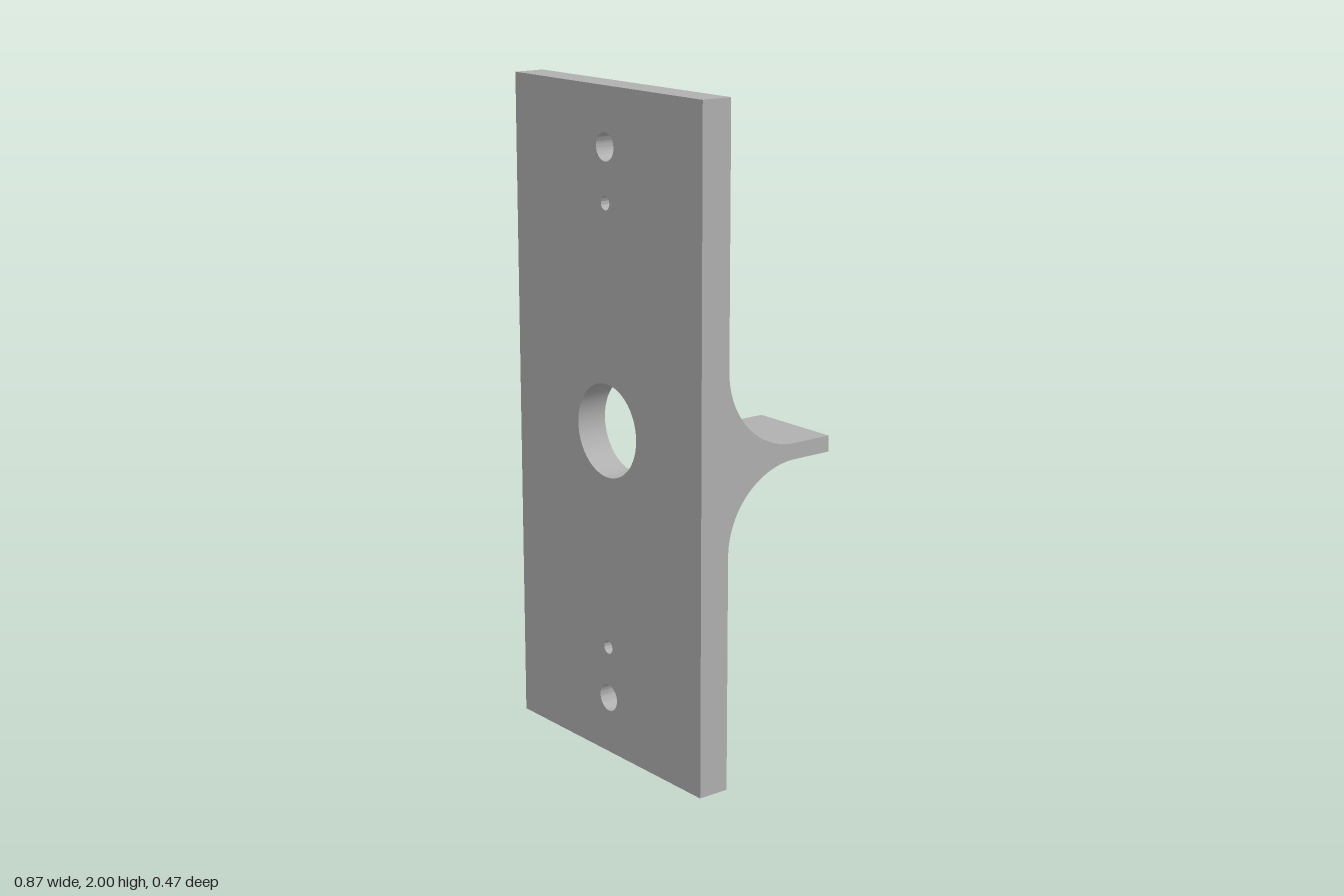
import * as THREE from 'three';
import { toCreasedNormals } from 'three/addons/utils/BufferGeometryUtils.js';

const HALF_W = 0.436, BACK = 0.138, FRONT = 0.236;

export function createModel() {
  const model = new THREE.Group();
  model.name = 'mountingPlate';
  const grey = new THREE.MeshStandardMaterial({ color: 0xb0b0b0 });
  grey.name = 'plain grey';

  const add = (name, geometry) => {
    const mesh = new THREE.Mesh(toCreasedNormals(geometry, 0.5), grey);
    mesh.name = name;
    model.add(mesh);
    return mesh;
  };

  // Flat plate with a central opening and two pairs of screw holes
  const outline = new THREE.Shape([
    new THREE.Vector2(-HALF_W, 0), new THREE.Vector2(HALF_W, 0),
    new THREE.Vector2(HALF_W, 2), new THREE.Vector2(-HALF_W, 2),
  ]);
  for (const [y, r] of [[1, 0.14], [1.827, 0.041], [0.173, 0.041], [1.667, 0.02], [0.333, 0.02]]) {
    outline.holes.push(new THREE.Path().absarc(0, y, r, 0, Math.PI * 2, true));
  }
  const plate = new THREE.ExtrudeGeometry(outline, { depth: FRONT - BACK, bevelEnabled: false, curveSegments: 48 });
  plate.translate(0, 0, BACK);
  add('plate', plate);

  // Flared posts: fillet into the plate, straight stem, blind bore in the end
  const R = 0.2, stem = 0.086, bore = 0.03, length = BACK + 0.236;
  const profile = [new THREE.Vector2(0.27, 0)];
  const start = Math.asin((stem + R - 0.27) / R);
  for (let i = 0; i <= 20; i++) {
    const a = start + (Math.PI / 2 - start) * i / 20;
    profile.push(new THREE.Vector2(stem + R - R * Math.sin(a), R - R * Math.cos(a)));
  }
  for (const [r, h] of [[stem, length], [bore, length], [bore, 0.12], [0, 0.12]]) {
    profile.push(new THREE.Vector2(r, h));
  }
  for (const [name, y] of [['upperPost', 1.438], ['lowerPost', 0.565]]) {
    const post = new THREE.LatheGeometry(profile, 72);
    post.rotateX(-Math.PI / 2).translate(-0.175, y, BACK);
    // Trim the flare flush with the plate edge
    const p = post.attributes.position;
    for (let i = 0; i < p.count; i++) p.setX(i, Math.max(p.getX(i), -HALF_W));
    add(name, post);
  }

  // Shelf with concave fillets above and below; profile x runs toward the back
  const F = 0.245, top = 1.0, under = 0.952, reach = BACK + 0.236;
  const side = new THREE.Shape();
  side.moveTo(0, under - F);
  side.absarc(F, under - F, F, Math.PI, Math.PI / 2, true);
  side.lineTo(reach, under);
  side.lineTo(reach, top);
  side.lineTo(F, top);
  side.absarc(F, top + F, F, Math.PI * 1.5, Math.PI, true);
  side.closePath();
  const shelf = new THREE.ExtrudeGeometry(side, { depth: HALF_W - 0.138, bevelEnabled: false, curveSegments: 24 });
  shelf.rotateY(Math.PI / 2).translate(0.138, 0, BACK);
  add('shelf', shelf);

  return model;
}
